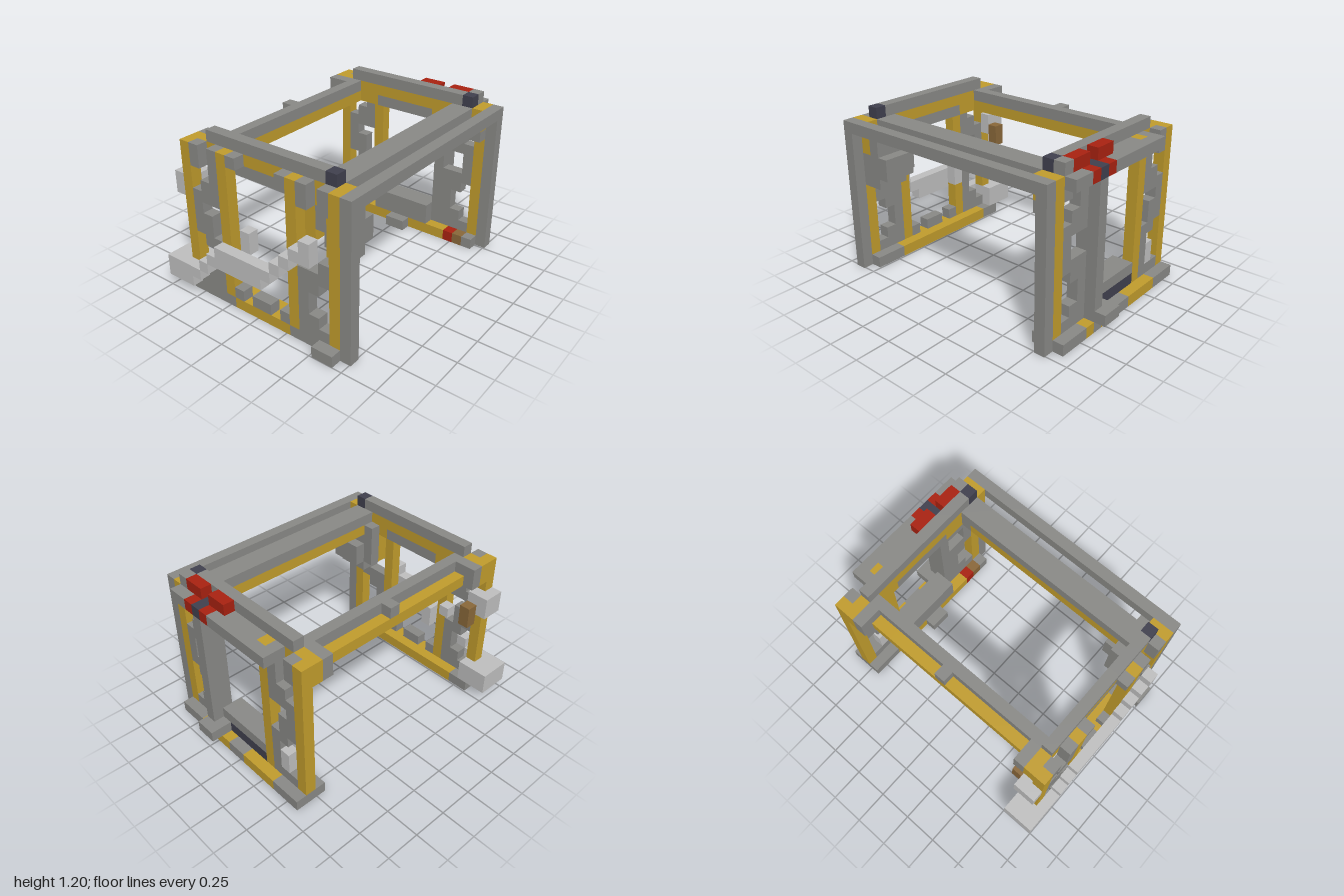
import * as THREE from 'three';

const U = 0.08; // edge of one block
const paint = (name, color) => {
  const m = new THREE.MeshStandardMaterial({ color });
  m.name = name;
  return m;
};

// The six faces of a block: outward normal and two edge directions (u x v = n)
const FACES = [
  [[1, 0, 0], [0, 1, 0], [0, 0, 1]], [[-1, 0, 0], [0, 0, 1], [0, 1, 0]],
  [[0, 1, 0], [0, 0, 1], [1, 0, 0]], [[0, -1, 0], [1, 0, 0], [0, 0, 1]],
  [[0, 0, 1], [1, 0, 0], [0, 1, 0]], [[0, 0, -1], [0, 1, 0], [1, 0, 0]],
];

export function createModel() {
  const gray = paint('steel gray', 0x8a8a87), light = paint('light gray', 0xc0c0c0);
  const gold = paint('gold', 0xc29d2d), dark = paint('dark slate', 0x41414f);
  const red = paint('red', 0xaa2211), brown = paint('brown', 0x8a683a);
  const cells = new Map(), parts = new Map();

  // Fill inclusive block ranges; a later part replaces an earlier one
  const fill = (name, mat, [x0, x1 = x0], [y0, y1 = y0], [z0, z1 = z0]) => {
    parts.set(name, mat);
    for (let x = x0; x <= x1; x++)
      for (let y = y0; y <= y1; y++)
        for (let z = z0; z <= z1; z++) cells.set(`${x},${y},${z}`, name);
  };

  // Base rails
  fill('frontBaseEnds', gray, [2, 17], [0], [22, 23]);
  fill('frontBaseMiddle', gold, [7, 12], [0], [22, 23]);
  fill('frontBaseMiddle', gold, [4, 14], [0], [22]);
  fill('frontBaseFoot', gray, [16, 17], [0], [24]);
  fill('backBaseEnds', gray, [2, 17], [0], [1, 3]);
  fill('backBaseMiddle', gold, [5, 14], [0], [1, 3]);
  fill('backBaseFoot', gray, [9, 10], [0], [1, 4]);
  fill('backBaseLamp', red, [15], [0], [3]);
  fill('backBaseLatch', brown, [16], [0], [3]);
  for (const x of [[7], [9, 10], [12]]) fill('floorBlocks', gray, x, [1], [23]);
  fill('backSill', gray, [7, 12], [1, 2], [2, 3]);
  fill('backSillStrip', dark, [7, 12], [1], [2]);
  fill('backStep', gray, [12, 13], [1], [0, 1]);

  // Walls: top beams, inset panels and brackets at each end
  for (const [wall, inner, outer] of [['front', 22, 23], ['back', 3, 2]]) {
    fill(wall + 'Lintel', gold, [3, 16], [12, 13], [inner]);
    fill(wall + 'LintelInset', gray, [7, 12], [12], [inner]);
    fill(wall + 'TopBeam', gray, [4, 15], [14], [inner]);
    fill(wall + 'BeamCap', dark, [16], [14], [inner]);
    for (const x of [3, 5, 14, 16]) fill(wall + 'Brackets', gray, [x], [12, 13], [outer]);
    for (const x of [7, 12]) fill(wall + 'Brackets', gray, [x], [13], [outer]);

    // Posts
    for (const x of [2, 17]) {
      fill(wall + 'Posts', gold, [x], [1, 13], [outer]);
      fill(wall + 'Posts', gold, [x], [12, 13], [inner]);
    }
    fill(wall + 'Posts', gold, [6], [1, 13], [outer]);
    if (wall === 'front') fill('frontPosts', gold, [13], [1, 13], [outer]);
    fill(wall + 'OuterPost', gray, [18], [0, 13], [outer]);

    // Stepped braces between the posts: x, lowest y, highest y
    const braces = [
      [5, 9, 11], [4, 9, 10], [3, 6, 9], [4, 6, 7], [4, 5, 5], [5, 5, 5], [5, 1, 4], [4, 1, 2], [3, 1, 1],
      [14, 1, 6], [15, 5, 6], [16, 6, 7], [15, 1, 2], [16, 1, 1],
    ];
    for (const [x, a, b] of braces) fill(wall + 'Braces', gray, [x], [a, b], [outer]);
  }
  for (const [x, a, b] of [[16, 7, 9], [15, 9, 10], [14, 9, 11]]) fill('backBraces', gray, [x], [a, b], [2]);
  fill('backBraceFoot', light, [4], [2, 3], [2]);

  // Gold panels and stepped housing behind the front wall
  fill('frontPanels', gold, [14], [9, 11], [22]);
  fill('frontPanels', gold, [16, 17], [8, 11], [22]);
  fill('housing', gray, [17], [8, 10], [22]);
  fill('housing', gray, [15], [10, 11], [22]);
  fill('housing', gray, [14, 17], [9, 12], [21]);
  fill('housing', gray, [15, 17], [8], [21]);
  fill('housing', gray, [15, 17], [9, 10], [20]);
  fill('backCornerBlock', gray, [16, 17], [11], [3]);

  // Side beams
  fill('rightBeam', gray, [15, 16], [13], [4, 21]);
  fill('rightBeamEnds', gray, [15, 16], [12], [4, 21]);
  fill('rightBeamUnderside', gold, [15, 16], [12], [5, 20]);
  fill('outerBeam', gray, [18], [13], [2, 23]);
  fill('leftBeam', gray, [4], [13], [4, 21]);
  fill('leftBeamUnderside', gold, [3, 4], [12], [4, 21]);
  fill('leftBeamBlocks', gray, [3], [13], [12]);
  for (const z of [4, 21]) fill('leftBeamBlocks', gray, [2, 3], [12, 13], [z]);

  // Back top rail with centre post and red bow
  fill('backRail', gray, [5, 11], [13], [1]);
  fill('backRail', gray, [15, 16], [13], [1]);
  fill('backRail', gray, [7, 16], [13], [2]);
  fill('backRail', gray, [16], [14], [2]);
  fill('centrePost', gray, [13], [0, 12], [1, 2]);
  fill('bow', red, [11, 12], [14], [2]);
  fill('bow', red, [14, 15], [14], [2]);
  for (const x of [12, 14]) fill('bow', red, [x], [13], [1]);
  fill('bowKnot', dark, [13], [13], [1, 2]);

  // Light stepped ribbon across the front
  const ribbon = [
    [15, 15, 8, 9], [14, 14, 8, 8], [13, 13, 7, 7], [12, 12, 6, 6],
    [6, 11, 5, 5], [5, 10, 4, 4], [4, 4, 3, 3],
  ];
  for (const [a, b, c, d] of ribbon) fill('ribbon', light, [a, b], [c, d], [24]);
  fill('ribbonBack', light, [7], [5, 6], [22]);
  fill('ribbonBack', light, [5], [7], [22]);

  // Light blocks around the left front post
  fill('lowerClamp', light, [0, 2], [1, 2], [22, 24]);
  fill('lowerClamp', light, [3], [2], [24]);
  fill('lowerClamp', light, [1], [0], [23]);
  fill('upperClamp', light, [1], [9, 10], [22, 23]);
  fill('upperClamp', light, [2], [9, 10], [22]);
  fill('clampHandle', brown, [2], [8, 9], [21]);

  // Build one mesh per part from the exposed block faces
  const data = new Map([...parts.keys()].map((n) => [n, { pos: [], nor: [], idx: [] }]));
  for (const [key, name] of cells) {
    const p = key.split(',').map(Number);
    const { pos, nor, idx } = data.get(name);
    for (const [n, u, v] of FACES) {
      if (cells.has(p.map((c, i) => c + n[i]).join(','))) continue;
      const s = pos.length / 3;
      for (const [a, b] of [[0, 0], [1, 0], [1, 1], [0, 1]]) {
        const c = p.map((q, i) => q + Math.max(n[i], 0) + a * u[i] + b * v[i]);
        pos.push((c[0] - 9.5) * U, c[1] * U, (c[2] - 12.5) * U);
        nor.push(...n);
      }
      idx.push(s, s + 1, s + 2, s, s + 2, s + 3);
    }
  }
  const group = new THREE.Group();
  group.name = 'blockFrame';
  for (const [name, { pos, nor, idx }] of data) {
    if (!idx.length) continue;
    const g = new THREE.BufferGeometry();
    g.setAttribute('position', new THREE.Float32BufferAttribute(pos, 3));
    g.setAttribute('normal', new THREE.Float32BufferAttribute(nor, 3));
    g.setIndex(idx);
    const mesh = new THREE.Mesh(g, parts.get(name));
    mesh.name = name;
    group.add(mesh);
  }
  return group;
}
